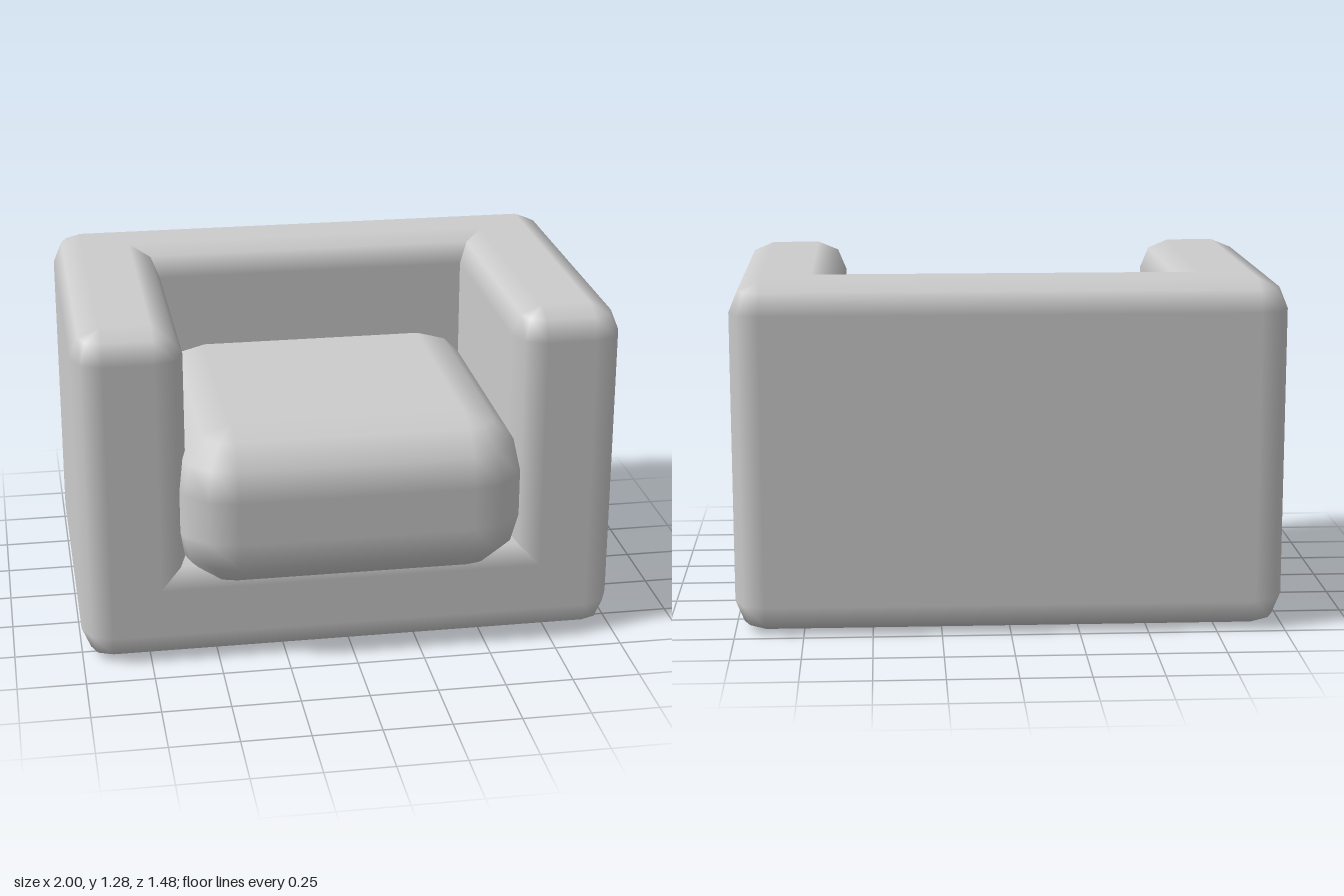
import * as THREE from 'three';

// Rounded box with n facets per quarter arc: a sphere cut into octants that are pushed apart.
function softBox(w, h, d, r, n) {
  const pos = [], nor = [], idx = [];
  const cols = 4 * (n + 1) + 1;
  const addRow = (phi, top, pole) => {
    for (let c = 0; c < cols; c++) {
      const k = c % (cols - 1), q = Math.floor(k / (n + 1)), i = k % (n + 1);
      const a = (q + i / n) * Math.PI / 2;
      const sx = q === 0 || q === 3 ? 1 : -1, sz = q < 2 ? 1 : -1;
      const nx = Math.sin(phi) * Math.cos(a), ny = Math.cos(phi), nz = Math.sin(phi) * Math.sin(a);
      const spread = pole ? 0 : 1;
      pos.push(
        spread * sx * (w / 2 - r) + nx * r,
        top * (h / 2 - r) + ny * r,
        spread * sz * (d / 2 - r) + nz * r);
      nor.push(nx, ny, nz);
    }
  };
  addRow(0, 1, true);
  for (let i = 0; i <= n; i++) addRow(i / n * Math.PI / 2, 1, false);
  for (let i = 0; i <= n; i++) addRow((1 + i / n) * Math.PI / 2, -1, false);
  addRow(Math.PI, -1, true);
  const rows = 2 * (n + 1) + 2;
  for (let j = 0; j < rows - 1; j++) {
    for (let c = 0; c < cols - 1; c++) {
      const a = j * cols + c, b = a + cols;
      idx.push(a, a + 1, b, a + 1, b + 1, b);
    }
  }
  const g = new THREE.BufferGeometry();
  g.setAttribute('position', new THREE.Float32BufferAttribute(pos, 3));
  g.setAttribute('normal', new THREE.Float32BufferAttribute(nor, 3));
  g.setIndex(idx);
  return g;
}

export function createModel() {
  const group = new THREE.Group();
  group.name = 'armchair';
  const fabric = new THREE.MeshStandardMaterial({ color: 0xcccccc });
  fabric.name = 'light grey fabric';

  // Adds a rounded block between two opposite corners
  const block = (name, [x0, y0, z0], [x1, y1, z1], r, n) => {
    const m = new THREE.Mesh(softBox(x1 - x0, y1 - y0, z1 - z0, r, n), fabric);
    m.position.set((x0 + x1) / 2, (y0 + y1) / 2, (z0 + z1) / 2);
    m.name = name;
    group.add(m);
  };

  // Frame: base, back and two arms share their outer faces
  block('base', [-1, 0, -0.74], [1, 0.4, 0.63], 0.11, 2);
  block('backrest', [-1, 0, -0.74], [1, 1.28, -0.35], 0.11, 2);
  block('leftArm', [0.6, 0, -0.74], [1, 1.28, 0.63], 0.11, 2);
  block('rightArm', [-1, 0, -0.74], [-0.6, 1.28, 0.63], 0.11, 2);

  // Seat cushion, plumper and projecting past the front
  block('seatCushion', [-0.65, 0.285, -0.6], [0.65, 0.885, 0.74], 0.22, 3);
  return group;
}
